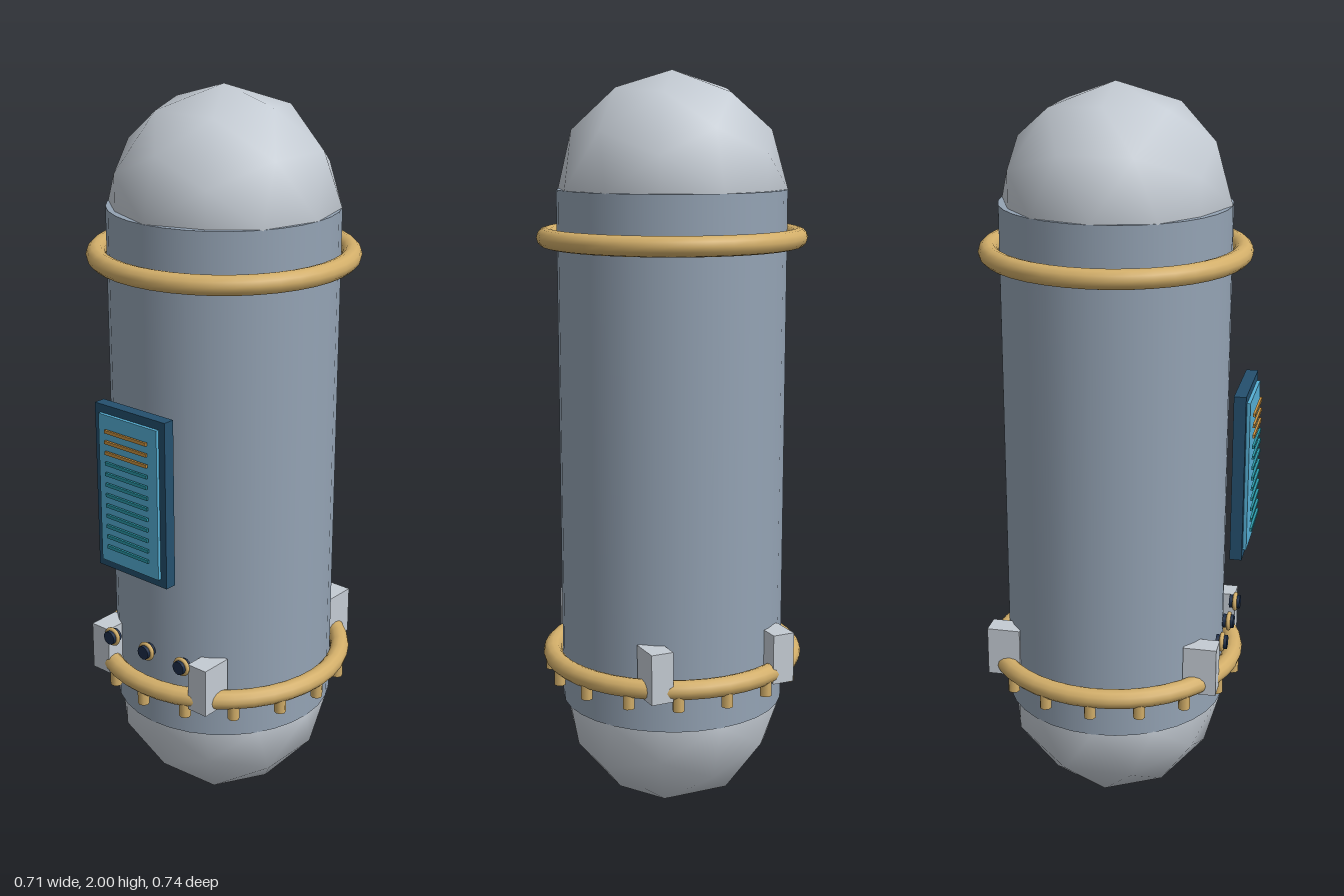
import * as THREE from 'three';

const mat = (name, color) => {
  const m = new THREE.MeshStandardMaterial({ color });
  m.name = name;
  return m;
};

export function createModel() {
  const steel = mat('blue grey steel', 0x94a3b4);
  const silver = mat('silver', 0xc4cbd3);
  const gold = mat('gold', 0xd2ae69);
  const frameBlue = mat('dark blue frame', 0x24506e);
  const glass = mat('light blue glass', 0x56b0d6);
  const teal = mat('teal bars', 0x2a98a8);
  const amber = mat('amber bars', 0xc9913f);
  const navy = mat('navy', 0x1c2d48);

  const root = new THREE.Group();
  root.name = 'capsule';

  const add = (name, geometry, material, x, y, z, parent = root) => {
    const mesh = new THREE.Mesh(geometry, material);
    mesh.name = name;
    mesh.position.set(x, y, z);
    parent.add(mesh);
    return mesh;
  };
  const box = (w, h, d) => new THREE.BoxGeometry(w, h, d);

  const R = 0.303;
  const low = 0.307, high = 1.697;

  // Hull, set slightly back, with coarse rounded ends
  const hull = new THREE.Group();
  hull.name = 'hull';
  hull.position.z = -0.015;
  root.add(hull);
  add('body', new THREE.CylinderGeometry(R, R, high - low, 32), steel, 0, (high + low) / 2, 0, hull);
  const dome = new THREE.IcosahedronGeometry(R, 1);
  add('topDome', dome, silver, 0, high, 0, hull);
  add('bottomDome', dome, silver, 0, low, 0, hull);

  // Gold hoops
  const hoop = new THREE.TorusGeometry(0.331, 0.026, 12, 40).rotateX(Math.PI / 2);
  add('topHoop', hoop, gold, 0, 1.573, 0, hull);
  add('bottomHoop', hoop, gold, 0, 0.435, 0, hull);

  // Studs hanging below the bottom hoop
  const stud = new THREE.CylinderGeometry(0.016, 0.016, 0.05, 8);
  for (let i = 0; i < 16; i++) {
    const a = (i / 16) * Math.PI * 2;
    add('stud', stud, gold, Math.sin(a) * 0.335, 0.405, Math.cos(a) * 0.335, hull);
  }

  // Four clamps gripping the bottom hoop
  for (const sx of [-1, 1]) {
    for (const sz of [-1, 1]) {
      add('clamp', box(0.061, 0.135, 0.09), silver, sx * 0.177, 0.477, sz * 0.272, hull);
    }
  }

  // Front display panel
  const panel = new THREE.Group();
  panel.name = 'displayPanel';
  panel.position.set(0, 1.003, 0);
  root.add(panel);
  add('panelFrame', box(0.24, 0.455, 0.032), frameBlue, 0, 0, 0.335, panel);
  add('panelScreen', box(0.2, 0.41, 0.009), glass, 0, 0, 0.3555, panel);
  const bar = box(0.144, 0.009, 0.006);
  for (let i = 0; i < 12; i++) {
    add('screenBar', bar, i < 3 ? amber : teal, 0, 0.164 - i * 0.0293, 0.367, panel);
  }

  // Row of three knobs with gold rims
  const knob = new THREE.CylinderGeometry(0.019, 0.019, 0.03, 16).rotateX(Math.PI / 2);
  const rim = new THREE.TorusGeometry(0.021, 0.006, 8, 20);
  for (const x of [-0.127, 0, 0.127]) {
    add('knob', knob, navy, x, 0.533, 0.305);
    add('knobRim', rim, gold, x, 0.533, 0.306);
  }

  return root;
}
